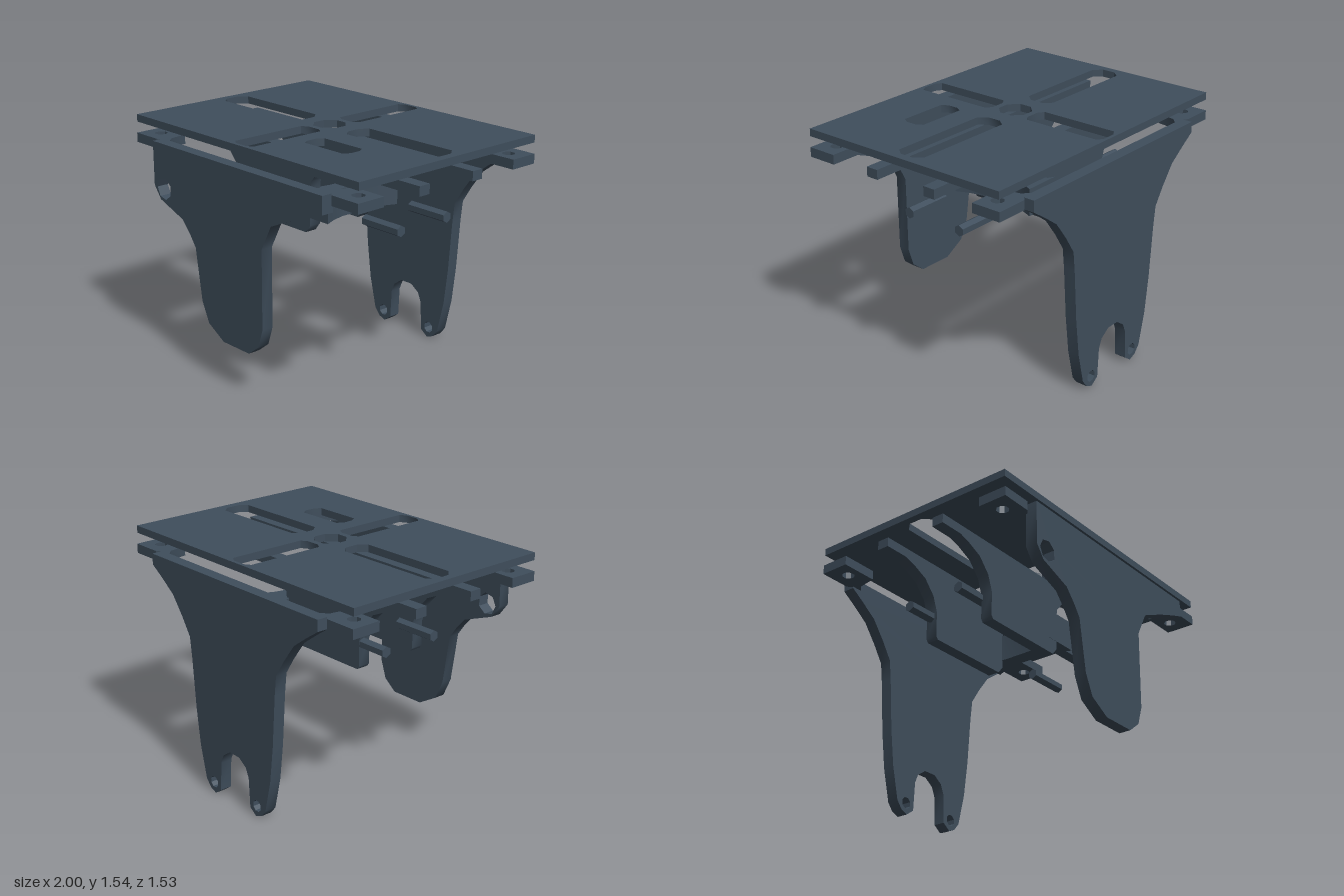
import * as THREE from 'three';
import { toCreasedNormals } from 'three/addons/utils/BufferGeometryUtils.js';

const steel = new THREE.MeshStandardMaterial({ color: 0x3f4e5c });
steel.name = 'slate steel';

// points with a fixed winding: outlines run counter-clockwise, holes clockwise
function wound(pts, clockwise) {
  const v = pts.map(([x, y]) => new THREE.Vector2(x, y));
  return THREE.ShapeUtils.isClockWise(v) === clockwise ? v : v.reverse();
}

// regular polygon used for round holes
const ring = (cx, cy, r, n = 8) => Array.from({ length: n }, (_, i) => {
  const a = ((i + 0.5) / n) * Math.PI * 2;
  return [cx + r * Math.cos(a), cy + r * Math.sin(a)];
});

// box with chamfered corners, used for slots
const slot = (x0, x1, y0, y1, cx, cy) => [
  [x0 + cx, y0], [x1 - cx, y0], [x1, y0 + cy], [x1, y1 - cy],
  [x1 - cx, y1], [x0 + cx, y1], [x0, y1 - cy], [x0, y0 + cy],
];

function extrude(pts, holes, depth) {
  const shape = new THREE.Shape(wound(pts, false));
  holes.forEach((h) => shape.holes.push(new THREE.Path(wound(h, true))));
  return new THREE.ExtrudeGeometry(shape, { depth, bevelEnabled: false });
}

export function createModel() {
  const group = new THREE.Group();
  const add = (name, geometry) => {
    const mesh = new THREE.Mesh(toCreasedNormals(geometry, 0.7), steel);
    mesh.name = name;
    group.add(mesh);
  };
  // upright plate: outline in x, y
  const upright = (name, pts, holes, z0, z1) =>
    add(name, extrude(pts, holes, z1 - z0).translate(0, 0, z0));
  // flat plate: outline in x, z
  const flat = (name, pts, holes, y0, y1) => {
    const flip = (p) => p.map(([x, z]) => [x, -z]);
    add(name, extrude(flip(pts), holes.map(flip), y1 - y0).rotateX(-Math.PI / 2).translate(0, y0, 0));
  };

  // slotted top plate
  flat('topPlate', [[-1, -0.717], [1, -0.717], [1, 0.717], [-1, 0.717]], [
    slot(-0.95, -0.2, -0.1, 0.09, 0.045, 0.05),
    slot(0.2, 0.945, -0.1, 0.09, 0.04, 0.05),
    slot(-0.085, 0.085, -0.695, -0.135, 0.04, 0.025),
    slot(-0.085, 0.085, 0.135, 0.695, 0.04, 0.025),
    slot(0.195, 0.56, 0.25, 0.4, 0.025, 0.04),
    ring(-0.005, 0, 0.104),
  ], 1.49, 1.537);

  // front plate with one rounded tongue
  upright('frontPlate', [
    [-0.77, 1.42], [-0.77, 1.14], [-0.71, 1.06], [-0.49, 0.98], [-0.42, 0.9],
    [-0.37, 0.83], [-0.32, 0.5], [-0.26, 0.37], [-0.12, 0.29], [0.12, 0.29],
    [0.21, 0.36], [0.25, 0.48], [0.255, 0.98], [0.34, 1.14], [0.52, 1.22],
    [0.68, 1.28], [0.77, 1.31], [0.77, 1.42],
  ], [ring(-0.67, 1.135, 0.07, 7)], 0.69, 0.767);

  // back plate with two mirrored feet and an arched notch
  const half = [
    [0.045, 0.335], [0.11, 0.29], [0.135, 0.23], [0.145, 0.04], [0.2, 0], [0.25, 0.02], [0.29, 0.07],
    [0.34, 0.28], [0.37, 0.52], [0.395, 0.85], [0.41, 0.98], [0.48, 1.09],
    [0.57, 1.21], [0.68, 1.29], [0.77, 1.35], [0.77, 1.42],
  ];
  const mirrored = half.map(([x, y]) => [-x, y]).reverse();
  upright('backPlate', [...half, ...mirrored],
    [ring(-0.21, 0.073, 0.038), ring(0.21, 0.073, 0.038)], -0.767, -0.69);

  // two inner brackets spanning the full width
  for (const z of [0.217, -0.217]) {
    upright('innerBracket', [
      [1, 1.42], [1, 1.36], [0.27, 1.36], [0.17, 1.32], [0.11, 1.25], [0.1, 1.18],
      [0.1, 0.97], [0.06, 0.92], [-0.53, 0.92], [-0.545, 0.94], [-0.545, 1.1],
      [-0.58, 1.2], [-0.66, 1.29], [-0.77, 1.34], [-0.84, 1.36], [-1, 1.36], [-1, 1.42],
    ], [], z - 0.04, z + 0.04);
  }

  // waisted bar across the brackets: wide ends, narrow middle
  const outer = [[0.26, 0.292], [0.225, 0.21], [0.205, 0.12]];
  const inner = [[0.1, 0.12], [0.08, 0.23], [0.06, 0.27], [0.02, 0.292]];
  const nearEnd = [...outer, ...inner.map(([x, z]) => [x, z])];
  const outline = [
    ...outer, ...outer.map(([x, z]) => [x, -z]).reverse(),
    ...nearEnd.slice(outer.length).map(([x, z]) => [x, -z]).reverse(), ...inner,
  ].map(([x, z]) => [x, z - 0.033]);
  flat('waistedBar', outline, [], 1.02, 1.195);

  // hexagonal rods on both sides
  for (const z of [0.16, -0.225]) {
    for (const [x0, x1] of [[-0.74, -0.45], [0.48, 0.77]]) {
      const rod = new THREE.CylinderGeometry(0.035, 0.035, x1 - x0, 6);
      add('rod', rod.rotateZ(Math.PI / 2).rotateX(Math.PI / 2).translate((x0 + x1) / 2, 1.08, z));
    }
  }

  // drilled corner tabs
  for (const sx of [1, -1]) {
    for (const sz of [1, -1]) {
      const place = (pts) => pts.map(([x, z]) => [x * sx, z * sz]);
      flat('cornerTab', place([
        [1, 0.53], [1, 0.722], [0.795, 0.722], [0.77, 0.7], [0.69, 0.7], [0.74, 0.65], [0.76, 0.53],
      ]), [place(ring(0.89, 0.615, 0.04))], 1.36, 1.42);
    }
  }
  return group;
}
